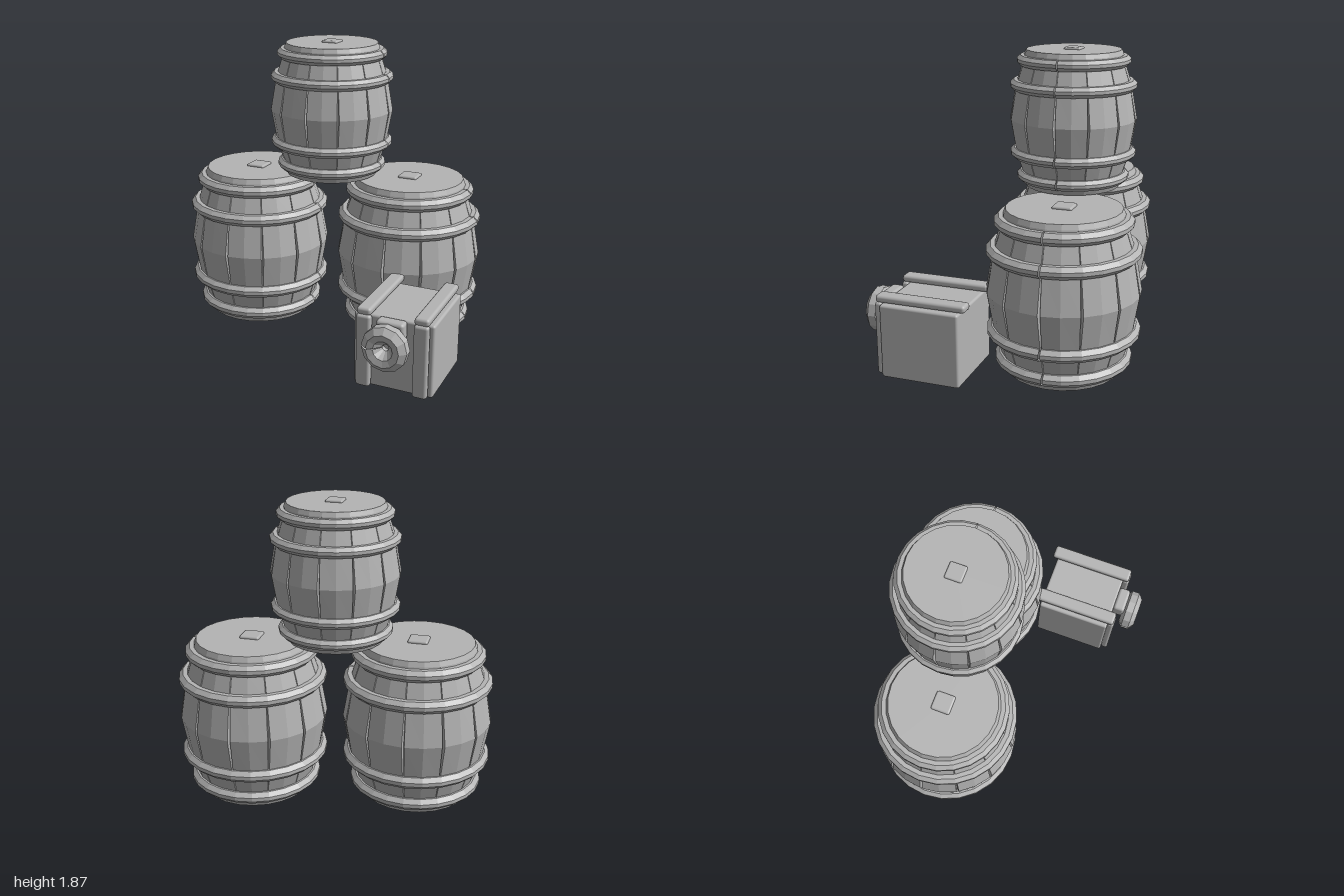
import * as THREE from 'three';
import { RoundedBoxGeometry } from 'three/addons/geometries/RoundedBoxGeometry.js';

const grey = new THREE.MeshStandardMaterial({ color: 0xb4b4b4, side: THREE.DoubleSide });
grey.name = 'grey';

const add = (parent, name, geometry, x = 0, y = 0, z = 0) => {
  const mesh = new THREE.Mesh(geometry, grey);
  mesh.name = name;
  mesh.position.set(x, y, z);
  parent.add(mesh);
  return mesh;
};

// faceted normals
const facet = (geometry) => {
  const g = geometry.toNonIndexed();
  g.computeVertexNormals();
  return g;
};

const lathe = (points, sides, start = 0, sweep = Math.PI * 2) =>
  facet(new THREE.LatheGeometry(points.map(([r, y]) => new THREE.Vector2(r, y)), sides, start, sweep));

// radius, height, groove strength
const PROFILE = [
  [0, 0, 0], [0.347, 0, 0], [0.358, 0.03, 0], [0.375, 0.11, 0.2], [0.42, 0.25, 0.3],
  [0.464, 0.5, 1],
  [0.42, 0.75, 0.3], [0.375, 0.89, 0.2], [0.358, 0.97, 0], [0.345, 1, 0], [0, 1, 0],
];

// twelve staves, each with a middle edge and a thin tapering groove between neighbours
function staveGeometry() {
  const staves = 12, cols = staves * 4, n = PROFILE.length;
  const g = new THREE.LatheGeometry(PROFILE.map(([r, y]) => new THREE.Vector2(r, y)), cols);
  const pos = g.attributes.position;
  const step = (Math.PI * 2) / staves;
  for (let i = 0; i <= cols; i++) {
    for (let j = 0; j < n; j++) {
      const [r, y, groove] = PROFILE[j];
      const edge = 0.004 + 0.014 * groove;
      const offset = [0, edge, step / 2, step - edge][i % 4];
      const a = Math.floor(i / 4) * step + offset;
      const radius = i % 4 === 0 ? r - 0.025 * groove : r;
      pos.setXYZ(i * n + j, radius * Math.sin(a), y, radius * Math.cos(a));
    }
  }
  return facet(g);
}

// bevelled hoop with a narrow seam on the +x side
function hoopGeometry(radius) {
  const gap = 0.02;
  const section = [
    [radius - 0.075, -0.037], [radius - 0.025, -0.037], [radius, -0.012], [radius, 0.012],
    [radius - 0.025, 0.037], [radius - 0.075, 0.037], [radius - 0.075, -0.037],
  ];
  return lathe(section, 24, Math.PI / 2 + gap / 2, Math.PI * 2 - gap);
}

function barrel(name, x, y, z, scale) {
  const g = new THREE.Group();
  g.name = name;
  add(g, 'staves', staveGeometry());
  for (const [h, r] of [[0.077, 0.413], [0.252, 0.462], [0.748, 0.462], [0.923, 0.413]])
    add(g, 'hoop', hoopGeometry(r), 0, h, 0);
  add(g, 'bung', new RoundedBoxGeometry(0.124, 0.03, 0.124, 2, 0.012), 0, 1, 0);
  g.position.set(x, y, z);
  g.scale.setScalar(scale);
  return g;
}

function chest() {
  const g = new THREE.Group();
  g.name = 'chest';
  add(g, 'chestBody', new RoundedBoxGeometry(0.49, 0.455, 0.495, 2, 0.015), 0, 0.23, 0.38);
  for (const side of [-1, 1]) {
    add(g, 'topStrap', new RoundedBoxGeometry(0.09, 0.045, 0.565, 2, 0.018), side * 0.175, 0.482, 0.382);
    add(g, 'frontStrap', new RoundedBoxGeometry(0.09, 0.455, 0.045, 2, 0.018), side * 0.175, 0.234, 0.648);
  }
  // bracket behind the round lock
  add(g, 'lockBracket', new RoundedBoxGeometry(0.17, 0.11, 0.08, 2, 0.02), 0, 0.41, 0.665);
  // ring with a funnel-shaped middle and a seam on the -x side
  const gap = 0.08;
  const ring = lathe([
    [0.02, 0.02], [0.1, 0], [0.138, 0.028], [0.138, 0.078], [0.1, 0.11], [0.06, 0.1], [0.02, 0.05], [0.02, 0.02],
  ], 12, -Math.PI / 2 + gap / 2, Math.PI * 2 - gap);
  ring.rotateX(Math.PI / 2);
  add(g, 'lockRing', ring, -0.005, 0.327, 0.69);
  g.position.x = 0.75;
  return g;
}

export function createModel() {
  const model = new THREE.Group();
  model.name = 'barrelStack';
  model.add(
    barrel('rightBarrel', -0.535, 0, -0.155, 1),
    barrel('leftBarrel', 0.48, 0, -0.335, 1),
    barrel('topBarrel', -0.03, 1.005, -0.23, 0.85),
    chest(),
  );
  return model;
}
